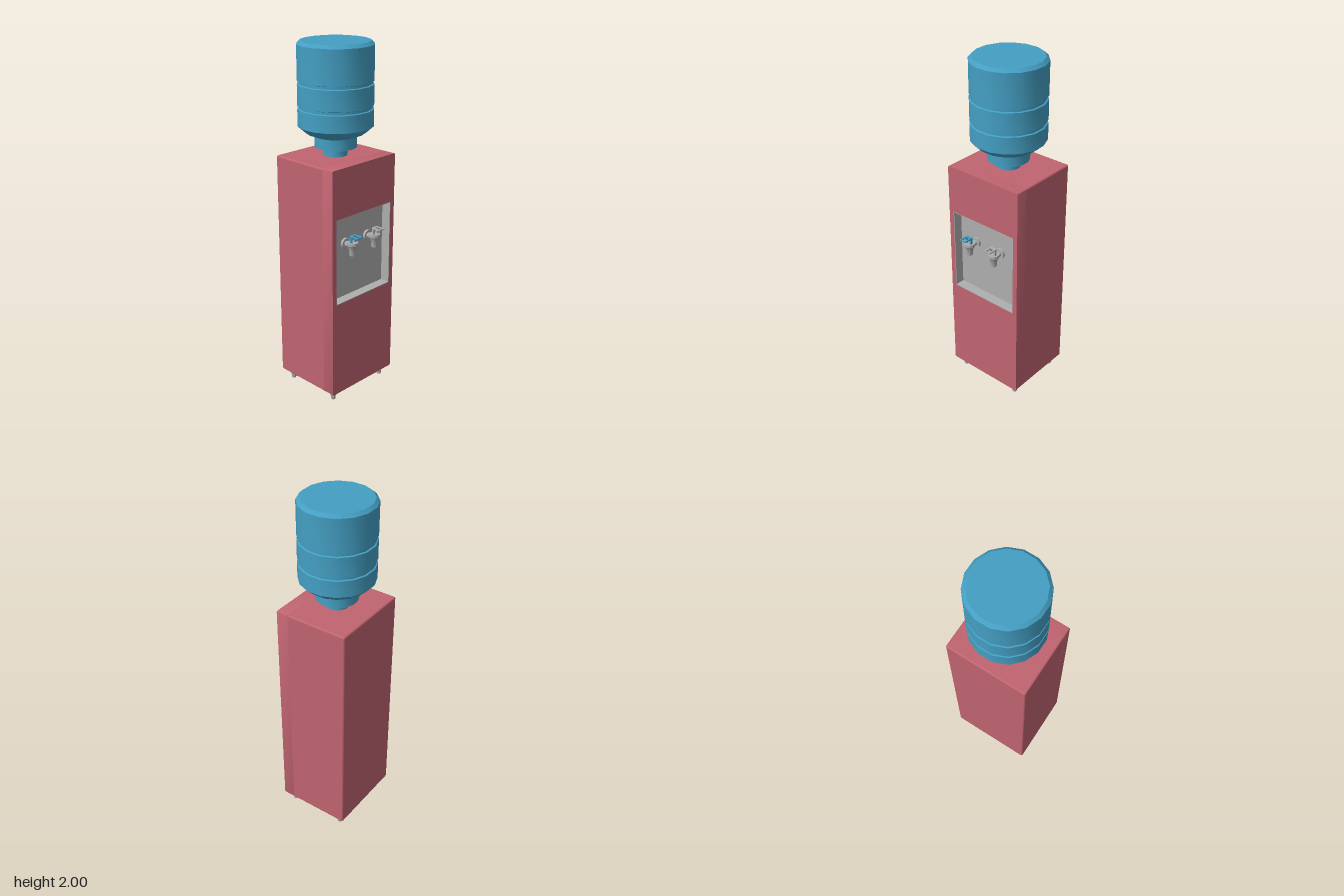
import * as THREE from 'three';
import { toCreasedNormals } from 'three/addons/utils/BufferGeometryUtils.js';
import { RoundedBoxGeometry } from 'three/addons/geometries/RoundedBoxGeometry.js';

const mat = (name, color) => {
  const m = new THREE.MeshStandardMaterial({ color });
  m.name = name;
  return m;
};

function add(parent, name, geometry, material, x = 0, y = 0, z = 0) {
  const mesh = new THREE.Mesh(geometry, material);
  mesh.name = name;
  mesh.position.set(x, y, z);
  parent.add(mesh);
  return mesh;
}

function group(parent, name) {
  const g = new THREE.Group();
  g.name = name;
  parent.add(g);
  return g;
}

// Turned part: [radius, height] pairs from bottom to top
function turned(points, sides) {
  const lathe = new THREE.LatheGeometry(points.map(([r, y]) => new THREE.Vector2(r, y)), sides, Math.PI / sides);
  return toCreasedNormals(lathe, 0.45);
}

// Rectangle with rounded corners, drawn into a Shape or Path
function roundedRect(path, x0, y0, x1, y1, r) {
  path.moveTo(x0 + r, y0);
  path.lineTo(x1 - r, y0);
  path.quadraticCurveTo(x1, y0, x1, y0 + r);
  path.lineTo(x1, y1 - r);
  path.quadraticCurveTo(x1, y1, x1 - r, y1);
  path.lineTo(x0 + r, y1);
  path.quadraticCurveTo(x0, y1, x0, y1 - r);
  path.lineTo(x0, y0 + r);
  path.quadraticCurveTo(x0, y0, x0 + r, y0);
  return path;
}

export function createModel() {
  const model = new THREE.Group();
  model.name = 'waterCooler';
  const red = mat('cabinetRed', 0xc06470);
  const blue = mat('bottleBlue', 0x449fc3);
  const grey = mat('fittingGrey', 0xafaeaf);

  // Cabinet: solid rear and a front frame around the recess
  const W = 0.243, Y0 = 0.057, Y1 = 1.385, FRONT = 0.185, BACK = -0.247, FLOOR = 0.125;
  const rx = 0.214, ry0 = 0.615, ry1 = 1.11;
  const cabinet = group(model, 'cabinet');
  add(cabinet, 'cabinetRear', new RoundedBoxGeometry(2 * W, Y1 - Y0, FLOOR - BACK, 3, 0.01), red,
    0, (Y0 + Y1) / 2, (FLOOR + BACK) / 2);
  const face = roundedRect(new THREE.Shape(), -W, Y0, W, Y1, 0.01);
  face.holes.push(roundedRect(new THREE.Path(), -rx, ry0, rx, ry1, 0.002));
  const frame = new THREE.ExtrudeGeometry(face, { depth: FRONT - FLOOR + 0.012, bevelEnabled: false, curveSegments: 4 });
  add(cabinet, 'frontFrame', toCreasedNormals(frame, 0.6), red, 0, 0, FLOOR - 0.012);

  // Grey lining of the recess
  const recess = group(model, 'recess');
  const t = 0.004, depth = FRONT - FLOOR, midY = (ry0 + ry1) / 2, midZ = (FRONT + FLOOR) / 2;
  add(recess, 'recessPanel', new THREE.BoxGeometry(2 * rx, ry1 - ry0, t), grey, 0, midY, FLOOR + t / 2);
  for (const s of [-1, 1]) {
    add(recess, 'recessSide', new THREE.BoxGeometry(t, ry1 - ry0, depth), grey, s * (rx - t / 2), midY, midZ);
    add(recess, 'recessEnd', new THREE.BoxGeometry(2 * rx, t, depth), grey,
      0, s > 0 ? ry1 - t / 2 : ry0 + t / 2, midZ);
  }

  // Taps: flange, pipe, tapered spout and a looped lever
  const leverShape = roundedRect(new THREE.Shape(), -0.021, -0.03, 0.021, 0.03, 0.005);
  leverShape.holes.push(roundedRect(new THREE.Path(), -0.011, -0.025, 0.011, 0.015, 0.001));
  const leverGeometry = new THREE.ExtrudeGeometry(leverShape, { depth: 0.006, bevelEnabled: false, curveSegments: 3 });
  leverGeometry.rotateX(-Math.PI / 2);
  const spoutGeometry = turned([[0, 0.88], [0.017, 0.88], [0.021, 0.92], [0.032, 0.94], [0.032, 0.956], [0, 0.956]], 12);
  for (const [name, x, leverMaterial] of [['coldTap', -0.095, blue], ['plainTap', 0.081, grey]]) {
    const tap = group(model, name);
    tap.position.x = x;
    add(tap, 'spout', spoutGeometry, grey, 0, 0, 0.189);
    const pipe = add(tap, 'pipe', new THREE.CylinderGeometry(0.016, 0.016, 0.06, 12), grey, 0, 0.935, 0.157);
    const flange = add(tap, 'flange', new THREE.CylinderGeometry(0.03, 0.03, 0.014, 16), grey, 0, 0.935, 0.136);
    pipe.rotation.x = flange.rotation.x = Math.PI / 2;
    add(tap, 'lever', leverGeometry, leverMaterial, 0, 0.99, 0.215);
    for (const s of [-1, 1]) {
      add(tap, 'leverPost', new THREE.BoxGeometry(0.009, 0.04, 0.014), leverMaterial, s * 0.015, 0.972, 0.193);
    }
  }

  // Bottle with two grooves, a shoulder and a stepped neck
  const R = 0.208;
  const bottleProfile = [
    [0, 1.38], [0.066, 1.38], [0.066, 1.43], [0.116, 1.43], [0.116, 1.492], [0.165, 1.512],
    [R, 1.55], [R, 1.643], [0.199, 1.646], [0.199, 1.66], [R, 1.663],
    [R, 1.775], [0.199, 1.778], [0.199, 1.792], [R, 1.795],
    [R, 1.983], [0.19, 2], [0, 2],
  ];
  add(model, 'bottle', turned(bottleProfile, 16), blue, 0, 0, -0.032);

  // Four tapered feet
  const footGeometry = turned([[0, 0], [0.013, 0], [0.021, 0.062], [0, 0.062]], 8);
  for (const x of [-0.195, 0.195]) {
    for (const z of [-0.195, 0.138]) add(model, 'foot', footGeometry, grey, x, 0, z);
  }
  return model;
}
